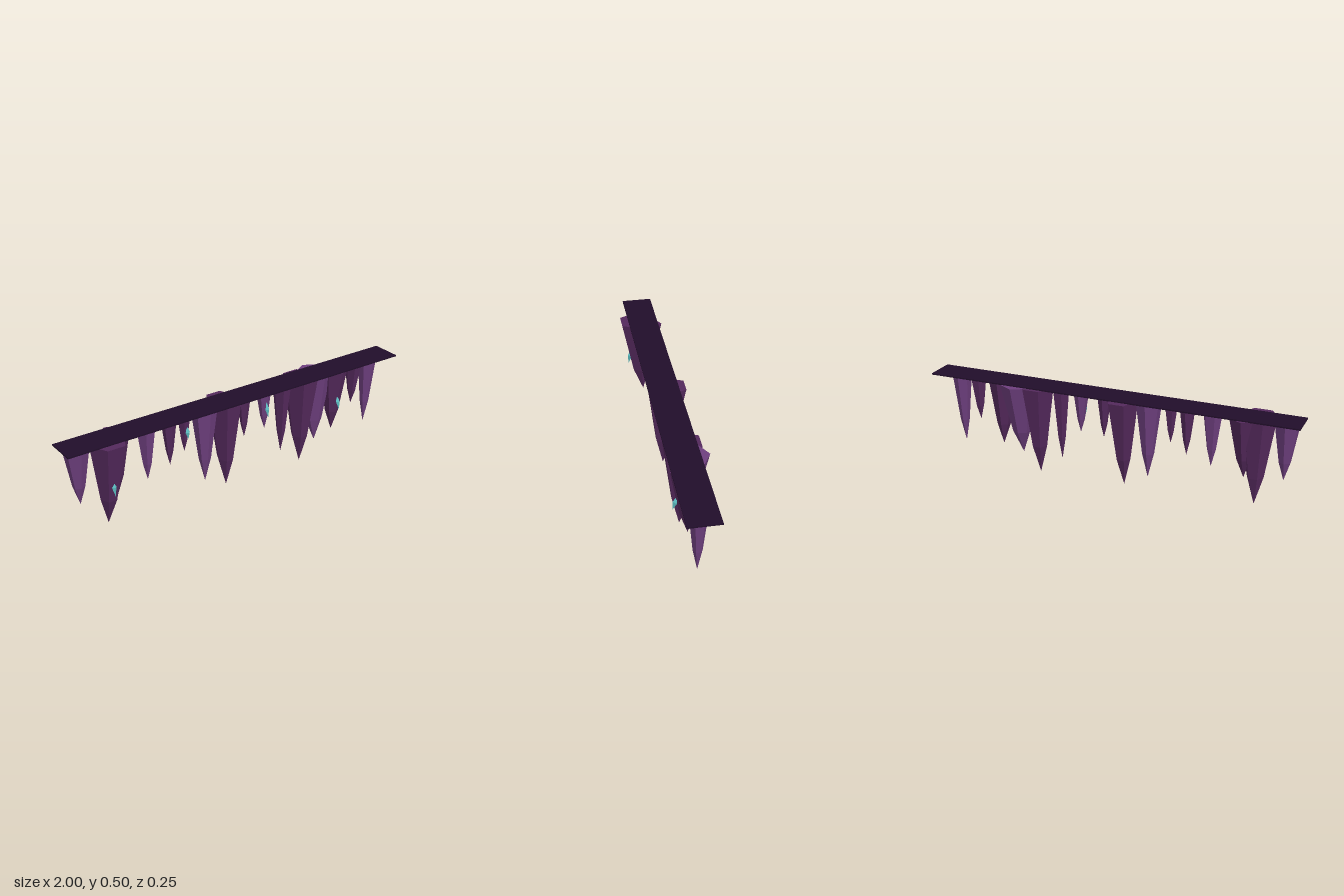
import * as THREE from 'three';

const mat = (name, color) => {
  const m = new THREE.MeshStandardMaterial({ color, flatShading: true });
  m.name = name;
  return m;
};

const TOP = 0.496;

// Six-sided spike: wide top ring, knee ring, then a point; fitted to the given top bounds
function spikeGeometry(x, tipY, [x0, x1], [z0, z1], turned) {
  const sides = 6, p = [], idx = [];
  const ring = (y, scale) => {
    for (let i = 0; i < sides; i++) {
      const a = (i + (turned ? 0.5 : 0)) * Math.PI * 2 / sides;
      const c = Math.cos(a) / (turned ? 0.866 : 1), s = Math.sin(a) / (turned ? 1 : 0.866);
      const px = (x0 + x1) / 2 + c * (x1 - x0) / 2;
      const pz = (z0 + z1) / 2 + s * (z1 - z0) / 2;
      p.push(x + (px - x) * scale, y, pz * scale);
    }
  };
  ring(TOP, 1);
  ring(TOP - (TOP - tipY) * 0.68, 0.47);
  p.push(x, tipY, 0, (x0 + x1) / 2, TOP, (z0 + z1) / 2);
  const tip = sides * 2, cap = tip + 1;
  for (let i = 0; i < sides; i++) {
    const j = (i + 1) % sides, a = i + sides, b = j + sides;
    idx.push(i, j, b, i, b, a, a, b, tip, cap, j, i);
  }
  const g = new THREE.BufferGeometry();
  g.setAttribute('position', new THREE.Float32BufferAttribute(p, 3));
  g.setIndex(idx);
  const flat = g.toNonIndexed();
  flat.computeVertexNormals();
  return flat;
}

export function createModel() {
  const group = new THREE.Group();
  const slabMat = mat('deep violet', 0x210e2a);
  const darkMat = mat('dark purple', 0x54295c);
  const lightMat = mat('light purple', 0x6e3f7e);
  const tealMat = mat('teal', 0x5fc4c8);

  // Thin ceiling slab
  const slab = new THREE.Mesh(new THREE.BoxGeometry(2, 0.007, 0.16), slabMat);
  slab.name = 'ceilingSlab';
  slab.position.y = 0.4985;
  group.add(slab);

  // Spikes: tip x, tip y, x range, z range, corner towards front and back
  const spikes = [
    [-0.92, 0.19, [-0.98, -0.865], [-0.06, 0.06], true],
    [-0.78, 0.035, [-0.865, -0.68], [-0.07, 0.12], false],
    [-0.72, 0.17, [-0.785, -0.65], [-0.1, 0.06], true],
    [-0.55, 0.2, [-0.6, -0.5], [-0.05, 0.05], false],
    [-0.42, 0.24, [-0.455, -0.385], [-0.04, 0.04], true],
    [-0.335, 0.29, [-0.368, -0.3], [-0.035, 0.035], false],
    [-0.215, 0.08, [-0.275, -0.155], [-0.06, 0.065], true],
    [-0.085, 0.015, [-0.165, 0], [-0.115, 0.075], false],
    [0.03, 0.26, [-0.005, 0.06], [-0.035, 0.035], true],
    [0.16, 0.27, [0.12, 0.19], [-0.045, 0.04], true],
    [0.27, 0.1, [0.225, 0.315], [-0.05, 0.05], false],
    [0.4, 0, [0.31, 0.49], [-0.1, 0.08], false],
    [0.5, 0.1, [0.42, 0.59], [-0.125, 0.07], true],
    [0.62, 0.13, [0.545, 0.68], [-0.07, 0.085], true],
    [0.755, 0.25, [0.715, 0.8], [-0.045, 0.045], false],
    [0.855, 0.11, [0.815, 0.905], [-0.05, 0.05], true],
  ];
  spikes.forEach((s, i) => {
    const m = new THREE.Mesh(spikeGeometry(...s), i % 3 ? darkMat : lightMat);
    m.name = 'spike' + (i + 1);
    group.add(m);
  });

  // Small crystals growing on the spikes: x, y, z, half length, lean
  const crystals = [
    [-0.775, 0.268, 0.074, 0.048, 0.2],
    [0.612, 0.318, 0.058, 0.045, 0.3],
    [-0.33, 0.405, 0.028, 0.036, 0.15],
    [0.152, 0.395, 0.036, 0.042, 0.2],
  ];
  crystals.forEach(([x, y, z, h, lean], i) => {
    const m = new THREE.Mesh(new THREE.OctahedronGeometry(1), tealMat);
    m.name = 'crystal' + (i + 1);
    m.scale.set(0.012, h, 0.014);
    m.position.set(x, y, z);
    m.rotation.x = -lean;
    group.add(m);
  });
  return group;
}
